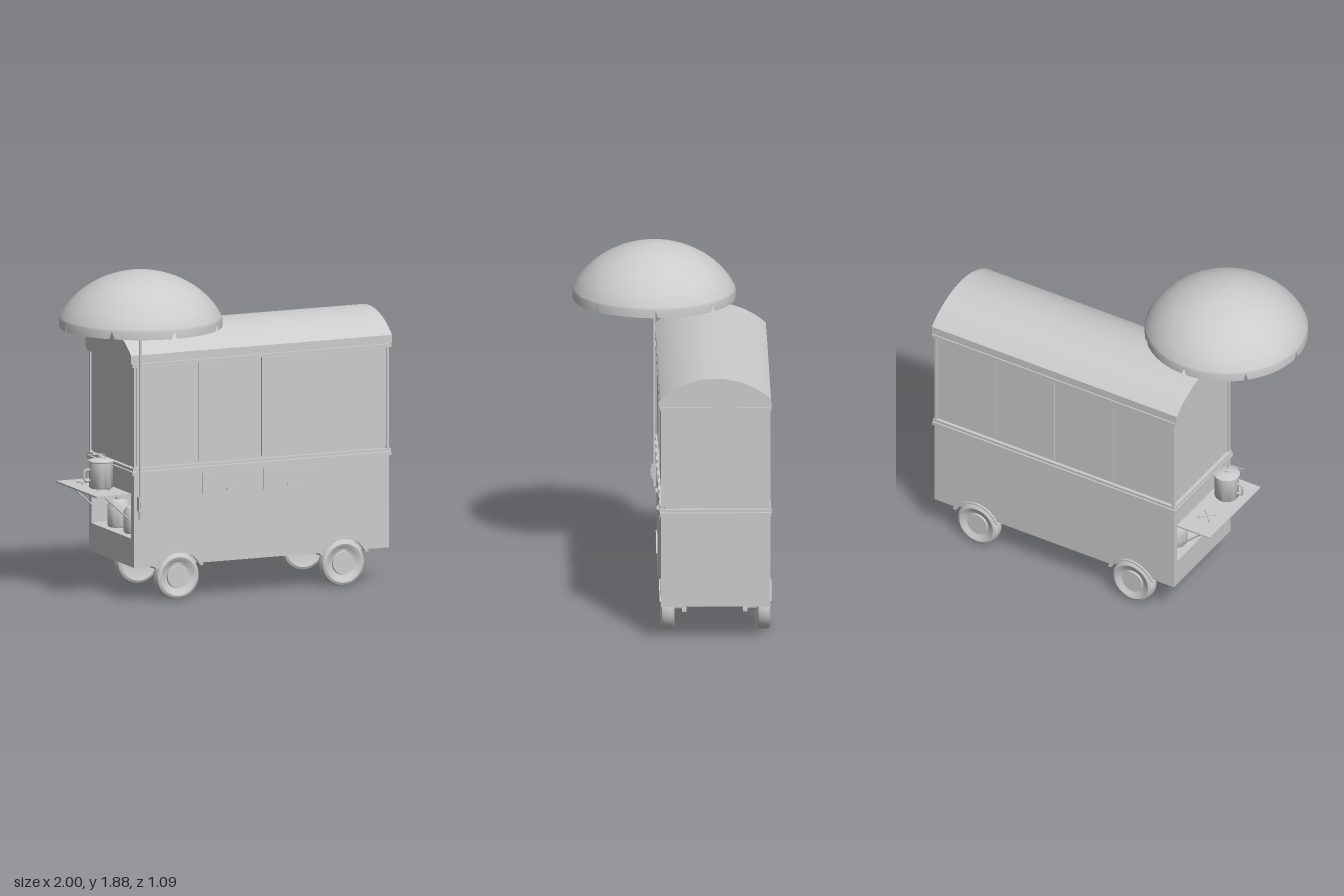
import * as THREE from 'three';
import { toCreasedNormals } from 'three/addons/utils/BufferGeometryUtils.js';

const mat = new THREE.MeshStandardMaterial({ color: 0xcccccc });
const thin = new THREE.MeshStandardMaterial({ color: 0xcccccc, side: THREE.DoubleSide });
const V = (x, y, z) => new THREE.Vector3(x, y, z);
const WHEELS_X = [-0.305, 0.705];
const MID_Z = -0.23;

export function createModel() {
  const root = new THREE.Group();

  const add = (name, geo, parent = root, material = mat) => {
    const m = new THREE.Mesh(geo, material);
    m.name = name;
    parent.add(m);
    return m;
  };
  const group = (name) => {
    const g = new THREE.Group();
    g.name = name;
    root.add(g);
    return g;
  };
  // Box given by its limits on each axis
  const box = (name, x0, x1, y0, y1, z0, z1, parent = root) => {
    const m = add(name, new THREE.BoxGeometry(x1 - x0, y1 - y0, z1 - z0), parent);
    m.position.set((x0 + x1) / 2, (y0 + y1) / 2, (z0 + z1) / 2);
    return m;
  };
  // Round bar between two points
  const rod = (name, a, b, r, parent = root, sides = 12) => {
    const m = add(name, new THREE.CylinderGeometry(r, r, a.distanceTo(b), sides), parent);
    m.position.copy(a).lerp(b, 0.5);
    m.quaternion.setFromUnitVectors(V(0, 1, 0), b.clone().sub(a).normalize());
    return m;
  };
  const lathe = (pts, seg = 40) => toCreasedNormals(
    new THREE.LatheGeometry(pts.map(([r, y]) => new THREE.Vector2(r, y)), seg), 0.7);

  // Lower body: long walls with wheel arches
  const lower = group('lowerBody');
  const archR = 0.142, a = Math.asin(0.07 / archR);
  const wall = new THREE.Shape();
  wall.moveTo(-0.58, 0.2);
  WHEELS_X.forEach((x) => {
    wall.lineTo(x - archR * Math.cos(a), 0.2);
    wall.absarc(x, 0.13, archR, Math.PI - a, a, true);
  });
  wall.lineTo(0.98, 0.2);
  wall.lineTo(0.98, 0.725);
  wall.lineTo(-0.58, 0.725);
  const wallGeo = new THREE.ExtrudeGeometry(wall, { depth: 0.015, bevelEnabled: false, curveSegments: 24 });
  add('frontWall', wallGeo, lower).position.z = 0.057;
  add('backWall', wallGeo, lower).position.z = -0.535;
  box('leftEndWall', 0.965, 0.98, 0.2, 0.725, -0.52, 0.057, lower);
  // Right end wall with the open locker
  box('rightEndSill', -0.58, -0.565, 0.2, 0.36, -0.52, 0.057, lower);
  box('rightEndHeader', -0.58, -0.565, 0.6, 0.725, -0.52, 0.057, lower);
  box('rightEndJamb', -0.58, -0.565, 0.36, 0.6, -0.52, -0.5, lower);
  box('rightEndJamb', -0.58, -0.565, 0.36, 0.6, 0.035, 0.057, lower);
  box('lockerFloor', -0.565, -0.2, 0.345, 0.36, -0.52, 0.057, lower);
  box('lockerBack', -0.2, -0.185, 0.345, 0.725, -0.52, 0.057, lower);
  box('floor', -0.565, 0.965, 0.23, 0.24, -0.52, 0.057, lower);
  [-0.35, -0.13].forEach((z) => {
    const c = add('gasBottle', lathe([[0, 0], [0.06, 0], [0.065, 0.01], [0.065, 0.12], [0.05, 0.145],
      [0.02, 0.155], [0.02, 0.18], [0, 0.18]], 28), lower);
    c.position.set(-0.48, 0.36, z);
  });

  // Mudguard lips over each wheel
  const lip = new THREE.Shape();
  lip.absarc(0, 0, 0.151, 0.5, Math.PI - 0.5, false);
  lip.lineTo(-0.148, 0.065);
  lip.lineTo(-0.142, 0.055);
  lip.absarc(0, 0, 0.139, Math.PI - 0.45, 0.45, true);
  lip.lineTo(0.142, 0.055);
  lip.lineTo(0.148, 0.065);
  const lipGeo = new THREE.ExtrudeGeometry(lip, { depth: 0.025, bevelEnabled: false, curveSegments: 24 });
  const tyreGeo = lathe([[0, -0.03], [0.085, -0.03], [0.11, -0.038], [0.124, -0.031], [0.13, -0.016],
    [0.13, 0.016], [0.124, 0.031], [0.11, 0.038], [0.09, 0.032], [0.078, 0.022], [0.066, 0.02],
    [0.064, 0.03], [0, 0.03]], 48).rotateX(Math.PI / 2);

  // Wheels, axles and suspension
  const chassis = group('chassis');
  WHEELS_X.forEach((x) => {
    [[0.033, 0, 0.055], [-0.502, Math.PI, -0.545]].forEach(([z, turn, lipZ]) => {
      const w = add('wheel', tyreGeo, chassis);
      w.position.set(x, 0.13, z);
      w.rotation.y = turn;
      add('mudguard', lipGeo, chassis).position.set(x, 0.13, lipZ);
      const inner = z + (turn ? 0.03 : -0.03), dir = turn ? 1 : -1;
      rod('hub', V(x, 0.13, inner), V(x, 0.13, inner + dir * 0.06), 0.022, chassis, 20);
      const hz = turn ? -0.4 : -0.06;
      box('springHanger', x - 0.06, x + 0.06, 0.11, 0.125, hz - 0.012, hz + 0.012, chassis);
      [-0.055, 0.055].forEach((d) =>
        box('springPost', x + d - 0.005, x + d + 0.005, 0.11, 0.21, hz - 0.005, hz + 0.005, chassis));
    });
    rod('axle', V(x, 0.13, -0.47), V(x, 0.13, 0), 0.009, chassis);
    [-0.055, 0.055].forEach((d) =>
      box('crossBar', x + d - 0.008, x + d + 0.008, 0.163, 0.177, -0.46, 0, chassis));
  });
  // Underside frame
  [-0.51, -0.4, -0.06, 0.045].forEach((z) =>
    box('frameRail', -0.565, 0.965, 0.2, 0.222, z - 0.01, z + 0.01, chassis));
  [-0.555, -0.1, 0.2, 0.5, 0.955].forEach((x) =>
    box('frameCrossMember', x - 0.01, x + 0.01, 0.201, 0.221, -0.51, 0.045, chassis));

  // Upper body with posts, panels and trim bands
  const upper = group('upperBody');
  box('cabin', -0.565, 0.965, 0.72, 1.36, -0.52, 0.055, upper);
  [-0.58, 0.965].forEach((x) => [-0.535, 0.057].forEach((z) =>
    box('cornerPost', x, x + 0.015, 0.76, 1.34, z, z + 0.015, upper)));
  for (let i = 0; i < 4; i++) {
    const x = -0.56 + i * 0.3825, d = i % 2 ? 0.005 : 0;
    box('frontPanel', x, x + 0.3775, 0.775, 1.33, 0.05, 0.067 - d, upper);
    box('backPanel', x, x + 0.3775, 0.775, 1.33, -0.53 + d, -0.515, upper);
  }
  box('leftEndPanel', 0.96, 0.975, 0.775, 1.33, -0.51, 0.047, upper);
  box('rightEndPanel', -0.575, -0.56, 0.775, 1.33, -0.51, 0.047, upper);
  [[0.722, 0.742, 0.012], [0.746, 0.762, 0.008], [1.334, 1.352, 0.012]].forEach(([y0, y1, o]) =>
    box('trimBand', -0.58 - o, 0.98 + o, y0, y1, -0.53 - o, 0.068 + o, upper));

  // Barrel roof
  const R = 0.46, t = Math.asin(0.308 / R);
  const arch = new THREE.Shape();
  arch.moveTo(-0.308, 1.355);
  arch.lineTo(0.308, 1.355);
  arch.absarc(0, 1.52 - R, R, Math.PI / 2 - t, Math.PI / 2 + t, false);
  const roofGeo = new THREE.ExtrudeGeometry(arch, { depth: 1.595, bevelEnabled: false, curveSegments: 40 });
  roofGeo.rotateY(Math.PI / 2);
  add('roof', toCreasedNormals(roofGeo, 0.4)).position.set(-0.6, 0, MID_Z);

  // Drawers with pulls
  const drawers = group('drawers');
  [[-0.16, 0.193], [0.21, 0.56]].forEach(([x0, x1]) => {
    box('drawerFront', x0, x1, 0.588, 0.705, 0.06, 0.0745, drawers);
    const c = (x0 + x1) / 2;
    box('drawerPull', c - 0.032, c + 0.032, 0.603, 0.609, 0.07, 0.087, drawers);
    box('drawerPullLip', c - 0.027, c + 0.027, 0.609, 0.615, 0.07, 0.081, drawers);
  });

  // Fold-down shelf with struts and burners
  const shelf = group('sideShelf');
  box('shelfBoard', -0.795, -0.58, 0.604, 0.614, -0.505, 0.04, shelf);
  [-0.48, 0.015].forEach((z) =>
    rod('shelfStrut', V(-0.735, 0.604, z), V(-0.58, 0.462, z), 0.005, shelf));
  [-0.35, -0.14].forEach((z) => {
    for (let i = 0; i < 4; i++) {
      const q = Math.PI / 4 + i * Math.PI / 2, c = Math.cos(q), s = Math.sin(q);
      rod('burnerArm', V(-0.685, 0.624, z), V(-0.685 + 0.055 * c, 0.624, z + 0.055 * s), 0.004, shelf, 8);
      rod('burnerFoot', V(-0.685 + 0.05 * c, 0.612, z + 0.05 * s),
        V(-0.685 + 0.05 * c, 0.628, z + 0.05 * s), 0.004, shelf, 8);
    }
  });

  // Cooking pot with lid, side grips and ladle
  const pot = group('pot');
  pot.position.set(-0.685, 0.628, -0.14);
  add('potBody', lathe([[0, 0], [0.062, 0], [0.068, 0.008], [0.068, 0.145], [0.073, 0.148], [0.073, 0.155],
    [0.06, 0.16], [0.03, 0.167], [0.012, 0.169], [0.012, 0.178], [0, 0.18]]), pot);
  const grip = new THREE.CatmullRomCurve3([V(-0.066, 0.105, 0), V(-0.095, 0.105, 0), V(-0.103, 0.09, 0),
    V(-0.103, 0.06, 0), V(-0.095, 0.045, 0), V(-0.066, 0.045, 0)]);
  add('potGrip', new THREE.TubeGeometry(grip, 24, 0.007, 8), pot);
  const ladle = new THREE.CatmullRomCurve3([V(0.01, 0.165, 0.03), V(0.008, 0.188, 0.03), V(-0.01, 0.195, 0.03),
    V(-0.08, 0.196, 0.03), V(-0.087, 0.2, 0.03), V(-0.085, 0.208, 0.03)]);
  add('ladle', new THREE.TubeGeometry(ladle, 28, 0.003, 8), pot);

  // Parasol: domed canopy with eight notches in the rim
  const parasol = group('parasol');
  parasol.position.set(-0.545, 0, 0.085);
  const rim = [[0.455, 1.57], [0.455, 1.615]];
  const dome = new THREE.SplineCurve([[0.455, 1.615], [0.425, 1.67], [0.375, 1.73], [0.31, 1.785], [0.21, 1.84],
    [0.1, 1.873], [0, 1.885]].map((p) => new THREE.Vector2(...p))).getPoints(20);
  const prof = [new THREE.Vector2(...rim[0]), ...dome];
  prof[prof.length - 1].x = 0;
  const canopy = new THREE.LatheGeometry(prof, 192);
  const pos = canopy.attributes.position;
  for (let i = 0; i <= 192; i += 24) pos.setY(i * prof.length, 1.612);
  add('canopy', canopy, parasol, thin);
  rod('pole', V(0, 0.5, 0), V(0, 1.88, 0), 0.009, parasol, 16);
  rod('poleFoot', V(0, 0.475, 0), V(0, 0.52, 0), 0.011, parasol, 16);
  box('poleClamp', -0.015, 0.015, 0.52, 0.6, -0.02, 0.014, parasol);
  box('poleBracket', -0.011, 0.011, 0.54, 0.575, 0.01, 0.02, parasol);

  return root;
}
